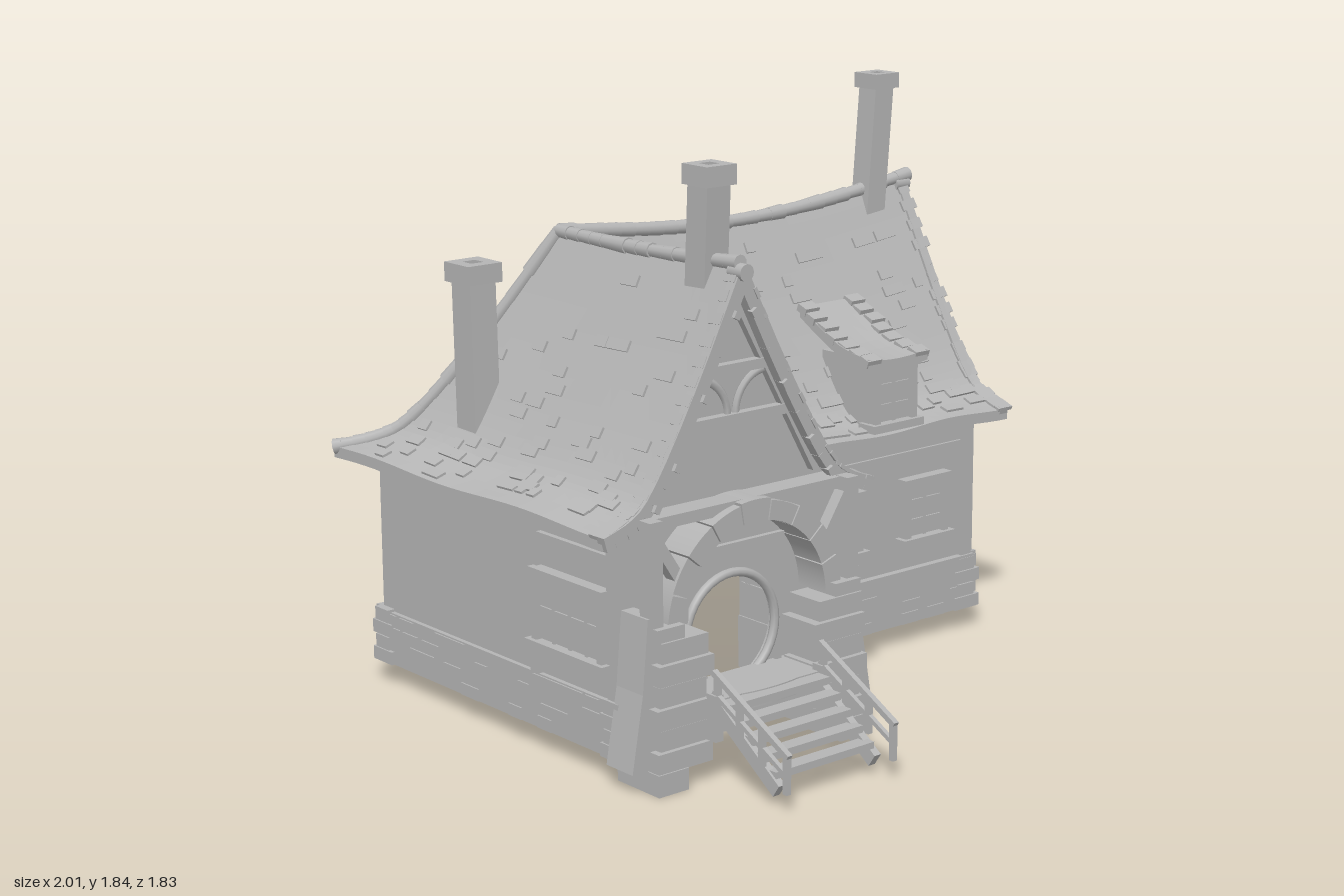
import * as THREE from 'three';

const V = (x, y, z) => new THREE.Vector3(x, y, z);
const lerp = THREE.MathUtils.lerp;
const RX = -0.48, RZ = -0.39; // ridge lines of the front wing and main house

export function createModel() {
  const model = new THREE.Group();
  model.name = 'cottage';
  const stone = new THREE.MeshStandardMaterial({ color: 0xb5b5b5, side: THREE.DoubleSide });
  stone.name = 'plain grey';
  let seed = 7;
  const rnd = (a = 0, b = 1) => {
    seed = (seed * 16807) % 2147483647;
    return a + (b - a) * seed / 2147483647;
  };
  const add = (name, geo, parent = model) => {
    const m = new THREE.Mesh(geo, stone);
    m.name = name;
    parent.add(m);
    return m;
  };
  const group = (name, x, y, z, rot = 0, parent = model) => {
    const g = new THREE.Group();
    g.name = name;
    g.position.set(x, y, z);
    g.rotation.y = rot;
    parent.add(g);
    return g;
  };
  const box = (name, x, y, z, w, h, d, parent) => {
    const m = add(name, new THREE.BoxGeometry(w, h, d), parent);
    m.position.set(x, y, z);
    return m;
  };
  // Box from a to b; w is its width, t its thickness along n
  const beam = (name, a, b, w, t, n, parent) => {
    const dir = b.clone().sub(a), len = dir.length();
    dir.normalize();
    const side = dir.clone().cross(n).normalize(), out = side.clone().cross(dir);
    const m = add(name, new THREE.BoxGeometry(w, len, t), parent);
    m.quaternion.setFromRotationMatrix(new THREE.Matrix4().makeBasis(side, dir, out));
    m.position.copy(a).add(b).multiplyScalar(0.5);
    return m;
  };
  const extrude = (name, shape, depth, parent) => add(name,
    new THREE.ExtrudeGeometry(shape, { depth, bevelEnabled: false, curveSegments: 24 }), parent);
  const poly = pts => new THREE.Shape(pts.map(p => new THREE.Vector2(...p)));
  const X = V(1, 0, 0), Y = V(0, 1, 0), Z = V(0, 0, 1);

  // Roof profile: distance from the ridge against height
  const profile = new THREE.SplineCurve([[0, 1.46], [0.13, 1.205], [0.26, 0.975], [0.35, 0.845],
    [0.42, 0.795], [0.51, 0.765]].map(p => new THREE.Vector2(...p)));

  // Closed slab under the surface fn(u, v)
  function slab(name, fn, nu, nv, t, parent) {
    const pos = [], idx = [], W = nu + 1, N = W * (nv + 1);
    for (let k = 0; k < 2; k++)
      for (let j = 0; j <= nv; j++)
        for (let i = 0; i <= nu; i++) {
          const p = fn(i / nu, j / nv);
          pos.push(p.x, p.y - k * t, p.z);
        }
    const quad = (a, b, c, d) => idx.push(a, b, c, a, c, d);
    for (let j = 0; j < nv; j++)
      for (let i = 0; i < nu; i++) {
        const a = j * W + i;
        quad(a, a + W, a + W + 1, a + 1);
        quad(a + N, a + 1 + N, a + W + 1 + N, a + W + N);
      }
    const edge = (a, b) => quad(a, b, b + N, a + N);
    for (let i = 0; i < nu; i++) { edge(i, i + 1); edge(nv * W + i + 1, nv * W + i); }
    for (let j = 0; j < nv; j++) { edge((j + 1) * W, j * W); edge(j * W + nu, (j + 1) * W + nu); }
    const g = new THREE.BufferGeometry();
    g.setAttribute('position', new THREE.Float32BufferAttribute(pos, 3));
    g.setIndex(idx);
    const flat = g.toNonIndexed();
    flat.computeVertexNormals();
    return add(name, flat, parent);
  }

  // Four roof slopes meeting at a hip, a valley and two sagging ridges
  const slope = (alongX, s) => (u, v) => {
    const p = profile.getPoint(v), d = s * p.x;
    const sag = (alongX ? -0.06 : -0.01) * Math.sin(Math.PI * u) + 0.02 * u;
    const y = p.y + sag * (1 - v) + 0.006 * v * Math.sin(11 * u);
    return alongX ? V(lerp(RX + d, 0.98, u), y, RZ + d) : V(RX + d, y, lerp(RZ + d, 0.46, u));
  };
  const roof = group('roof', 0, 0, 0);
  const slopes = { westSlope: [slope(false, -1), 60], eastSlope: [slope(false, 1), 40],
    backSlope: [slope(true, -1), 110], frontSlope: [slope(true, 1), 90] };
  for (const [name, [fn, count]] of Object.entries(slopes)) {
    slab(name, fn, 24, 20, 0.035, roof);
    const tile = (u, v, w) => {
      const p = fn(u, v), e = 0.01;
      const along = fn(Math.min(u + e, 1), v).sub(fn(u - e, v)).normalize();
      const down = fn(u, v + e).sub(fn(u, v - e)).normalize();
      const n = along.clone().cross(down);
      if (n.y < 0) n.negate();
      p.addScaledVector(n, 0.002);
      beam('roofTile', p.clone().addScaledVector(along, -w / 2), p.clone().addScaledVector(along, w / 2),
        0.035, 0.012, n, roof);
    };
    for (let i = 0; i < count; i++)
      tile(rnd(0.08, 0.95), Math.round(rnd(2, 22)) / 24, rnd(0.035, 0.08));
    for (let r = 1; r < 24; r++) tile(0.985, r / 24, rnd(0.03, 0.07)); // ragged gable edge
  }

  // Rounded caps over the ridges and hip
  function caps(name, fn, count) {
    for (let i = 0; i < count; i++) {
      const a = fn(i / count), b = fn((i + 1) / count), r = rnd(0.021, 0.026);
      const m = add(name, new THREE.CylinderGeometry(r, r * 0.9, a.distanceTo(b) * 1.04, 10), roof);
      m.quaternion.setFromUnitVectors(Y, b.clone().sub(a).normalize());
      m.position.copy(a).add(b).multiplyScalar(0.5);
    }
  }
  caps('mainRidgeCap', u => slopes.frontSlope[0](u * 1.012, 0), 26);
  caps('wingRidgeCap', u => slopes.westSlope[0](u, 0), 15);
  caps('hipCap', v => slopes.backSlope[0](0, v), 18);

  // Walls under the eaves
  const wall = (name, x0, z0, x1, z1) => box(name, (x0 + x1) / 2, 0.425, (z0 + z1) / 2,
    Math.abs(x1 - x0) + 0.02, 0.71, Math.abs(z1 - z0) + 0.02);
  wall('westWall', -0.88, -0.79, -0.88, 0.4);
  wall('eastWall', -0.08, 0.01, -0.08, 0.4);
  wall('backWall', -0.88, -0.79, 0.9, -0.79);
  wall('frontWall', -0.08, 0.01, 0.9, 0.01);

  // Gable end: wall, bargeboards, collars and curved braces
  function gable(name, x, z, rot, hole) {
    const g = group(name, x, 0, z, rot);
    const side = [0, 0.15, 0.3, 0.45, 0.6, 0.72].map(t => profile.getPoint(t)).filter(p => p.x < 0.4);
    const pts = [[-0.41, 0.07], [0.41, 0.07], [0.41, 0.77],
      ...side.slice(1).reverse().map(p => [p.x, p.y - 0.025]), [0, 1.44],
      ...side.slice(1).map(p => [-p.x, p.y - 0.025]), [-0.41, 0.77]];
    const shape = poly(pts);
    if (hole) shape.holes.push(new THREE.Path().absarc(0, 0.38, 0.17, 0, Math.PI * 2));
    extrude('gableWall', shape, 0.02, g).position.z = -0.07;
    for (const s of [-1, 1]) {
      for (let i = 0; i < 12; i++) {
        const a = profile.getPoint(i / 12), b = profile.getPoint((i + 1) / 12);
        beam('bargeboard', V(s * a.x, a.y - 0.02, 0), V(s * b.x, b.y - 0.02, 0), 0.045, 0.035, Z, g);
        if (i % 2 && i < 9) box('peg', s * (a.x - 0.012), a.y - 0.035, 0.02, 0.022, 0.022, 0.02, g).rotation.z = s * 0.5;
      }
      const brace = add('curvedBrace', new THREE.TorusGeometry(0.12, 0.013, 6, 10, Math.PI / 2), g);
      brace.position.set(s * 0.135, 1.03, -0.04);
      brace.rotation.y = s > 0 ? Math.PI : 0;
      brace.scale.z = 0.8;
      beam('innerRafter', V(0, 1.39, -0.04), V(s * 0.32, 0.82, -0.04), 0.03, 0.03, Z, g);
    }
    box('lowerCollar', 0, 1.02, -0.04, 0.44, 0.03, 0.04, g);
    box('upperCollar', 0, 1.17, -0.04, 0.25, 0.03, 0.04, g);
    const end = add('ridgeEnd', new THREE.CylinderGeometry(0.026, 0.026, 0.06, 12), g);
    end.rotation.x = Math.PI / 2;
    end.position.set(0, 1.455, 0);
    return g;
  }
  const porch = gable('frontGable', RX, 0.46, 0, true);
  const right = gable('rightGable', 0.96, RZ, Math.PI / 2, false);
  box('gableTie', 0, 0.65, -0.045, 0.82, 0.03, 0.02, right);
  box('gableSill', 0, 0.245, -0.04, 0.83, 0.025, 0.04, right);
  for (const s of [-1, 1]) box('gablePost', s * 0.39, 0.5, -0.045, 0.04, 0.5, 0.02, right);

  // Stone footing with raised blocks
  function footing(x, z, len, rot) {
    const g = group('footing', x, 0, z, rot);
    box('footingBand', 0, 0.155, -0.005, len, 0.17, 0.04, g);
    for (let i = 0; i < len * 22; i++)
      box('footingBlock', rnd(-0.5, 0.5) * (len - 0.1), 0.09 + 0.042 * Math.floor(rnd(0, 4)), 0.014,
        rnd(0.05, 0.1), 0.038, 0.012, g);
    for (const s of [-1, 1]) for (let r = 0; r < 4; r++)
      box('cornerStone', s * (len / 2 - 0.035), 0.092 + r * 0.045, 0.012, r % 2 ? 0.07 : 0.1, 0.042, 0.03, g);
  }
  footing(0.42, 0.02, 0.98, 0);
  footing(0.91, RZ, 0.84, Math.PI / 2);
  footing(0.01, -0.8, 1.82, Math.PI);
  footing(-0.89, -0.19, 1.24, -Math.PI / 2);
  footing(-0.07, 0.21, 0.42, Math.PI / 2);

  // Timber framing of the long walls
  for (const x of [0.1, 0.88]) box('wallPost', x, 0.49, 0.025, 0.045, 0.5, 0.025);
  box('frontPlate', 0.42, 0.735, 0.03, 0.98, 0.035, 0.03);
  box('frontRail', 0.5, 0.645, 0.022, 0.78, 0.022, 0.015);
  box('frontSill', 0.42, 0.247, 0.03, 0.98, 0.02, 0.03);
  box('backPlate', 0.01, 0.73, -0.81, 1.8, 0.04, 0.03);
  for (const [x, s] of [[-0.885, -1], [-0.075, 1]]) {
    box('sidePlate', x + s * 0.01, 0.66, 0.21, 0.025, 0.035, 0.4);
    for (const z of [0.02, 0.39]) box('sidePost', x + s * 0.01, 0.49, z, 0.025, 0.5, 0.04);
  }

  // Framed window facing outward along its local z
  function windowAt(x, y, z, rot, w, h, cols, rows, parent) {
    const g = group('window', x, y, z, rot, parent);
    box('pane', 0, 0, 0, w, h, 0.03, g);
    for (const s of [-1, 1]) box('jamb', s * w / 2, 0, 0.005, 0.024, h, 0.06, g);
    box('lintel', 0, h / 2, 0.008, w + 0.04, 0.026, 0.065, g);
    box('sill', 0, -h / 2, 0.012, w + 0.06, 0.026, 0.075, g);
    for (let i = 1; i < cols; i++) box('mullion', (i / cols - 0.5) * w, 0, 0, 0.012, h, 0.046, g);
    for (let i = 1; i < rows; i++) box('glazingBar', 0, (i / rows - 0.5) * h, 0, w, 0.01, 0.042, g);
  }
  for (const x of [0.295, 0.68]) windowAt(x, 0.455, 0.02, 0, 0.17, 0.2, 2, 3);
  for (const x of [0.58, 0.19]) windowAt(x, 0.61, -0.8, Math.PI, 0.12, 0.13, 2, 2);
  windowAt(-0.07, 0.45, 0.2, Math.PI / 2, 0.31, 0.22, 4, 2);
  windowAt(-0.89, 0.45, 0.2, -Math.PI / 2, 0.31, 0.22, 4, 2);

  // Dormers with a swept tiled roof; local z is the distance from the ridge
  function dormer(x, rot) {
    const g = group('dormer', x, 0, RZ, rot);
    box('dormerBody', 0, 0.885, 0.35, 0.19, 0.23, 0.22, g);
    windowAt(0, 0.88, 0.455, 0, 0.16, 0.2, 2, 3, g);
    const sweep = new THREE.SplineCurve([[0.17, 1.135], [0.26, 1.08], [0.37, 1.025], [0.495, 1]].map(p => new THREE.Vector2(...p)));
    slab('dormerRoof', (u, v) => {
      const p = sweep.getPoint(v);
      return V((u - 0.5) * 0.26, p.y + 0.012 * (2 * u - 1) ** 2 * v, p.x);
    }, 6, 8, 0.035, g);
    for (let r = 0; r < 7; r++) {
      const p = sweep.getPoint((r + 0.5) / 7);
      for (const s of [-1, 1]) box('dormerTile', s * rnd(0.095, 0.11), p.y, p.x, 0.06, 0.025, 0.042, g).rotation.x = 0.35;
    }
  }
  dormer(0.49, 0);
  dormer(0.49, Math.PI);
  dormer(-0.29, Math.PI);

  // Leaning chimneys with open caps
  function chimney(a, b, w, capW, capH) {
    beam('chimneyShaft', a, b, w, w, Z);
    const r = capW / 2, q = w * 0.24;
    const s = poly([[-r, -r], [r, -r], [r, r], [-r, r]]);
    s.holes.push(new THREE.Path([[-q, -q], [-q, q], [q, q], [q, -q]].map(p => new THREE.Vector2(...p))));
    const m = extrude('chimneyCap', s, capH);
    m.rotation.x = -Math.PI / 2;
    m.position.set(b.x, b.y - 0.02, b.z);
  }
  chimney(V(-0.475, 1.34, 0.3), V(-0.48, 1.71, 0.325), 0.088, 0.112, 0.06);
  chimney(V(0.815, 1.36, -0.39), V(0.848, 1.81, -0.385), 0.08, 0.105, 0.05);
  chimney(V(-0.76, 0.85, -0.44), V(-0.765, 1.35, -0.445), 0.095, 0.125, 0.06);

  // Round doorway, arch stones and porch timbers, centred on the front ridge
  add('doorRing', new THREE.TorusGeometry(0.172, 0.014, 8, 40), porch).position.set(0, 0.38, -0.045);
  for (let i = 0; i < 9; i++) {
    const a = Math.PI * i / 9 + 0.008, b = Math.PI * (i + 1) / 9 - 0.008;
    const s = new THREE.Shape().absarc(0, 0, rnd(0.33, 0.34), a, b, false);
    s.absarc(0, 0, 0.272, b, a, true);
    extrude('archStone', s, 0.12, porch).position.set(0, 0.46, -0.05);
  }
  box('tieBeam', 0, 0.78, 0.0, 0.76, 0.035, 0.08, porch);
  box('doorLintel', 0, 0.63, -0.045, 0.4, 0.03, 0.025, porch);
  for (const s of [-1, 1]) {
    const p = group('porchSide', 0, 0, 0, 0, porch);
    box('porchPost', s * 0.375, 0.62, 0.05, 0.045, 0.36, 0.05, p);
    box('doorPost', s * 0.18, 0.42, -0.045, 0.022, 0.42, 0.02, p);
    beam('porchBrace', V(s * 0.375, 0.76, 0.04), V(s * 0.27, 0.6, 0.04), 0.035, 0.04, Z, p);
    // Stone pier and flared buttress
    for (let r = 0; r < 6; r++)
      box('pierStone', s * (0.3 + rnd(-0.006, 0.006)), 0.095 + r * 0.065, 0.035, r % 2 ? 0.17 : 0.2, 0.061, r % 2 ? 0.135 : 0.15, p);
    box('pierCap', s * 0.34, 0.465, 0.035, 0.1, 0.05, 0.12, p);
    box('pierFoot', s * 0.35, 0.033, 0.02, 0.11, 0.066, 0.19, p);
    extrude('buttress', poly([[s * 0.36, 0.07], [s * 0.465, 0.07], [s * 0.425, 0.3], [s * 0.405, 0.52], [s * 0.36, 0.52]]), 0.12, p).position.z = -0.05;
  }

  // Landing, steps and handrails
  const stairs = group('stairs', RX, 0, 0);
  box('landing', 0, 0.2, 0.5, 0.42, 0.1, 0.18, stairs);
  const half = add('landingFront', new THREE.CylinderGeometry(0.24, 0.24, 0.05, 24, 1, false, -Math.PI / 2, Math.PI), stairs);
  half.position.set(0, 0.225, 0.5);
  half.scale.z = 0.42;
  for (let i = 0; i < 5; i++) box('step', 0, 0.235 - i * 0.037, 0.615 + i * 0.048, 0.38, 0.022, 0.05, stairs);
  for (const s of [-1, 1]) {
    const x = s * 0.205;
    beam('stringer', V(s * 0.185, 0.225, 0.58), V(s * 0.185, 0.045, 0.84), 0.045, 0.025, X, stairs);
    beam('topRail', V(x, 0.335, 0.58), V(x, 0.165, 0.905), 0.018, 0.018, X, stairs);
    beam('lowRail', V(x, 0.275, 0.58), V(x, 0.11, 0.895), 0.014, 0.014, X, stairs);
    for (const t of [0.05, 0.35, 0.65, 0.97])
      box('baluster', x, lerp(0.335, 0.165, t) - 0.055, lerp(0.58, 0.905, t), 0.017, 0.12, 0.017, stairs);
    box('newel', x, 0.2, 0.585, 0.03, 0.14, 0.04, stairs);
  }
  return model;
}
